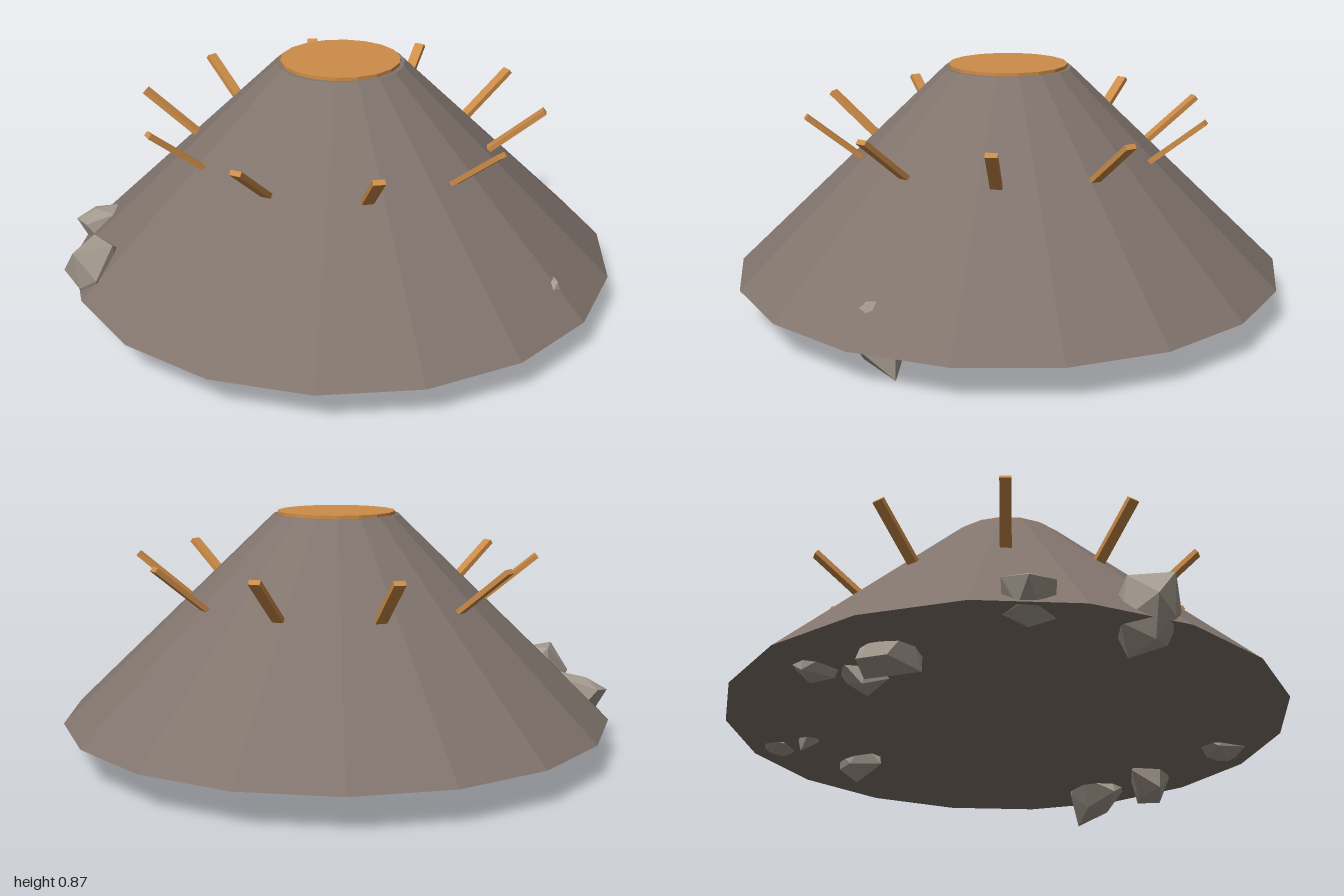
import * as THREE from 'three';
import { mergeVertices } from 'three/addons/utils/BufferGeometryUtils.js';

const mat = (name, color) => {
  const m = new THREE.MeshStandardMaterial({ color, flatShading: true });
  m.name = name;
  return m;
};

// Small seeded generator for the rock shapes
function seeded(seed) {
  let s = seed * 7919 + 17;
  return () => (s = (s * 16807) % 2147483647) / 2147483647;
}

// Jagged low-poly rock fitted to a box given by its centre and size
function rockGeometry(seed, centre, size) {
  const rand = seeded(seed);
  for (let i = 0; i < 5; i++) rand();
  let g = new THREE.IcosahedronGeometry(1, 0);
  g.deleteAttribute('normal');
  g.deleteAttribute('uv');
  g = mergeVertices(g, 1e-3);
  g.rotateX(rand() * 6).rotateY(rand() * 6);
  const p = g.attributes.position;
  for (let i = 0; i < p.count; i++) {
    const k = 0.6 + rand() * 0.65;
    p.setXYZ(i, p.getX(i) * k, p.getY(i) * k, p.getZ(i) * k);
  }
  g.center();
  g.computeBoundingBox();
  const b = g.boundingBox.getSize(new THREE.Vector3());
  g.scale(size[0] / b.x, size[1] / b.y, size[2] / b.z);
  g.translate(...centre);
  g.computeVertexNormals();
  return g;
}

export function createModel() {
  const model = new THREE.Group();
  const stone = mat('mountainStone', 0x81746d);
  const lava = mat('lava', 0xcd8d49);
  const rubble = mat('rubble', 0xa59b90);
  const add = (name, geometry, material, parent = model) => {
    const mesh = new THREE.Mesh(geometry, material);
    mesh.name = name;
    parent.add(mesh);
    return mesh;
  };

  // Mountain and the lava pool at its top
  add('mountain', new THREE.CylinderGeometry(0.23, 0.998, 0.735, 18), stone).position.y = 0.4925;
  add('lavaPool', new THREE.CylinderGeometry(0.215, 0.215, 0.03, 18), lava).position.y = 0.857;

  // Ring of lava jets, tilted outwards
  const jets = new THREE.Group();
  jets.name = 'lavaJets';
  model.add(jets);
  for (let i = 0; i < 10; i++) {
    const pivot = new THREE.Group();
    pivot.name = 'lavaJet';
    pivot.rotation.y = (i * Math.PI) / 5;
    const jet = add('jet', new THREE.BoxGeometry(0.018, 0.28, 0.04), lava, pivot);
    jet.position.set(0.62, 0.623, 0);
    jet.rotation.z = -0.885;
    jets.add(pivot);
  }

  // Rocks around the foot: centre, then size
  const rocks = new THREE.Group();
  rocks.name = 'rocks';
  model.add(rocks);
  [
    [[0.76, 0.11, 0.125], [0.22, 0.18, 0.19]],
    [[0.81, 0.13, -0.135], [0.23, 0.26, 0.23]],
    [[0.66, 0.14, 0.52], [0.2, 0.12, 0.16]],
    [[-0.025, 0.12, -0.66], [0.15, 0.16, 0.22]],
    [[-0.325, 0.14, -0.67], [0.11, 0.12, 0.1]],
    [[-0.335, 0.15, -0.82], [0.17, 0.1, 0.12]],
    [[-0.73, 0.12, 0.08], [0.22, 0.16, 0.2]],
    [[-0.675, 0.13, -0.1], [0.15, 0.14, 0.16]],
    [[-0.765, 0.145, -0.19], [0.17, 0.11, 0.14]],
    [[-0.4, 0.17, 0.8], [0.17, 0.24, 0.24]],
    [[-0.7, 0.165, 0.6], [0.18, 0.17, 0.16]],
  ].forEach(([centre, size], i) => add('rock', rockGeometry(i + 3, centre, size), rubble, rocks));

  return model;
}
